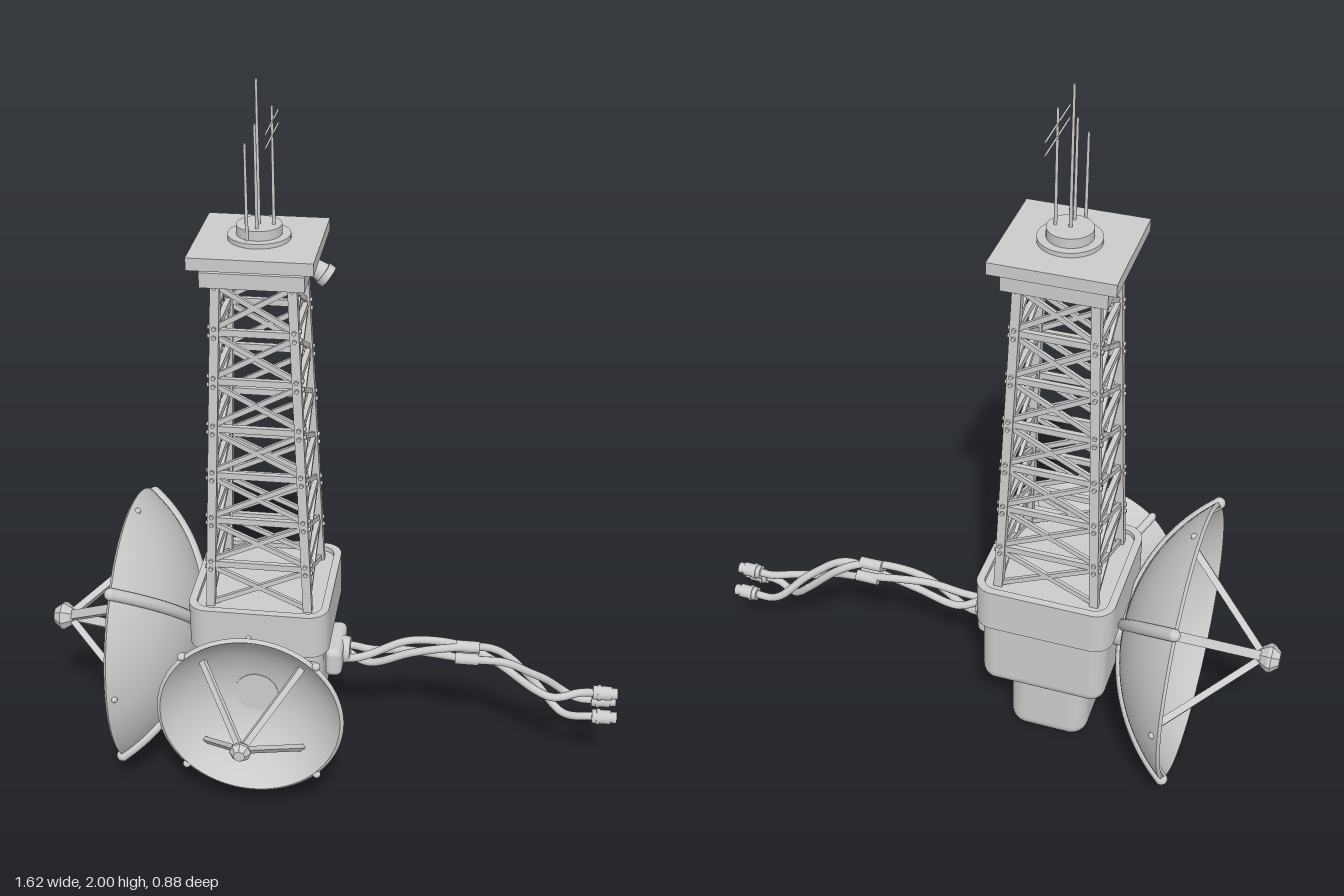
import * as THREE from 'three';
import { RoundedBoxGeometry } from 'three/addons/geometries/RoundedBoxGeometry.js';

const CX = -0.187, CZ = -0.055; // vertical axis shared by body and tower
const grey = new THREE.MeshStandardMaterial({ color: 0xcccccc });
const V = (x, y, z) => new THREE.Vector3(x, y, z);
const Y = V(0, 1, 0);

function add(parent, name, geometry, x = 0, y = 0, z = 0) {
  const mesh = new THREE.Mesh(geometry, grey);
  mesh.name = name;
  mesh.position.set(x, y, z);
  parent.add(mesh);
  return mesh;
}

// square bar between two points
function bar(parent, name, a, b, w, h = w) {
  const mesh = new THREE.Mesh(new THREE.BoxGeometry(w, h, a.distanceTo(b)), grey);
  mesh.name = name;
  mesh.position.copy(a).lerp(b, 0.5);
  mesh.lookAt(b);
  parent.add(mesh);
}

// round rod between two points
function rod(parent, name, a, b, r0, r1 = r0, sides = 16) {
  const mesh = add(parent, name, new THREE.CylinderGeometry(r1, r0, a.distanceTo(b), sides));
  mesh.position.copy(a).lerp(b, 0.5);
  mesh.quaternion.setFromUnitVectors(Y, b.clone().sub(a).normalize());
}

function roundedSquare(Path, half, r) {
  const p = new Path();
  const c = half - r;
  p.absarc(c, c, r, 0, Math.PI / 2);
  p.absarc(-c, c, r, Math.PI / 2, Math.PI);
  p.absarc(-c, -c, r, Math.PI, Math.PI * 1.5);
  p.absarc(c, -c, r, Math.PI * 1.5, Math.PI * 2);
  p.closePath();
  return p;
}

function makeBody() {
  const g = new THREE.Group();
  g.name = 'body';
  add(g, 'lowerBody', new RoundedBoxGeometry(0.226, 0.3, 0.226, 5, 0.05), CX, 0.153, CZ);
  add(g, 'mainBody', new RoundedBoxGeometry(0.352, 0.31, 0.352, 5, 0.042), CX, 0.388, CZ);
  // collar with a raised rim around the deck
  const rim = roundedSquare(THREE.Shape, 0.193, 0.055);
  rim.holes.push(roundedSquare(THREE.Path, 0.172, 0.038));
  const extrude = (shape, depth) => new THREE.ExtrudeGeometry(shape, { depth, bevelEnabled: false, curveSegments: 8 }).rotateX(-Math.PI / 2);
  add(g, 'collarRim', extrude(rim, 0.13), CX, 0.459, CZ);
  add(g, 'collarDeck', extrude(roundedSquare(THREE.Shape, 0.175, 0.04), 0.115), CX, 0.46, CZ);
  return g;
}

function makeTower() {
  const g = new THREE.Group();
  g.name = 'latticeTower';
  g.position.set(CX, 0, CZ);
  const y0 = 0.57, y1 = 1.515, h0 = 0.134, h1 = 0.097, bays = 7;
  const half = y => h0 + (h1 - h0) * (y - y0) / (y1 - y0);
  const corners = [[1, 1], [1, -1], [-1, -1], [-1, 1]];
  const at = (c, y) => V(c[0] * half(y), y, c[1] * half(y));
  corners.forEach((c, i) => {
    // leaning leg: a box whose ends are shifted to the taper
    const leg = new THREE.BoxGeometry(0.024, y1 - y0, 0.024);
    const p = leg.attributes.position;
    for (let k = 0; k < p.count; k++) {
      const h = p.getY(k) > 0 ? h1 : h0;
      p.setX(k, p.getX(k) + c[0] * h);
      p.setZ(k, p.getZ(k) + c[1] * h);
    }
    leg.computeVertexNormals();
    add(g, 'towerLeg', leg, 0, (y0 + y1) / 2, 0);
    const d = corners[(i + 1) % 4];
    for (let b = 0; b < bays; b++) {
      const ya = y0 + (y1 - y0) * b / bays, yb = y0 + (y1 - y0) * (b + 1) / bays;
      bar(g, 'crossBrace', at(c, ya + 0.01), at(d, yb - 0.01), 0.01, 0.014);
      bar(g, 'crossBrace', at(d, ya + 0.01), at(c, yb - 0.01), 0.01, 0.014);
      bar(g, 'horizontalBrace', at(c, yb), at(d, yb), 0.014, 0.018);
      // bolts on both outer faces of the leg
      for (const dy of [-0.012, 0.012]) {
        const q = at(c, yb + dy);
        rod(g, 'bolt', q, q.clone().add(V(c[0] * 0.018, 0, 0)), 0.006, 0.006, 8);
        rod(g, 'bolt', q, q.clone().add(V(0, 0, c[1] * 0.018)), 0.006, 0.006, 8);
      }
    }
  });
  return g;
}

function makePlatform() {
  const g = new THREE.Group();
  g.name = 'topPlatform';
  g.position.set(CX, 0, CZ);
  for (const [w, lo, hi] of [[0.264, 1.51, 1.55], [0.22, 1.545, 1.57], [0.316, 1.565, 1.598]])
    add(g, 'platformPlate', new THREE.BoxGeometry(w, hi - lo, w), 0, (lo + hi) / 2, 0);
  add(g, 'antennaBase', new THREE.CylinderGeometry(0.08, 0.08, 0.012, 40), 0, 1.604, 0);
  add(g, 'antennaBaseTop', new THREE.CylinderGeometry(0.058, 0.058, 0.03, 40), 0, 1.62, 0);
  for (const [x, z, top] of [[0, 0, 2], [0.037, 0, 1.936], [0, 0.036, 1.9], [-0.022, 0.055, 1.857]])
    rod(g, 'antenna', V(x, 1.6, z), V(x, top, z), 0.0045, 0.0035, 8);
  for (const y of [1.863, 1.896])
    rod(g, 'antennaCrossbar', V(0.037, y, -0.097), V(0.037, y, 0.1), 0.0025, 0.0025, 8);
  // tilted lamp under the plate edge
  rod(g, 'lampArm', V(0.12, 1.535, 0), V(0.145, 1.52, 0), 0.012);
  rod(g, 'lampBody', V(0.137, 1.527, 0), V(0.16, 1.511, 0), 0.022, 0.026, 24);
  rod(g, 'lampHood', V(0.16, 1.511, 0), V(0.175, 1.5, 0), 0.03, 0.03, 24);
  return g;
}

// dish opening toward +y with its back at the origin
function makeDish(name, r, depth, feedHeight, strutRadius, headR) {
  const g = new THREE.Group();
  g.name = name;
  const R = (r * r + depth * depth) / (2 * depth);
  const end = Math.asin(r / R), t = 0.012, n = 24;
  const pt = (a, s) => new THREE.Vector2(Math.sin(a) * s, R - Math.cos(a) * s);
  const outer = [], inner = [];
  for (let i = 0; i <= n; i++) {
    outer.push(pt(end * i / n, R));
    inner.push(pt(end * (1 - i / n), R - t));
  }
  add(g, 'dishBack', new THREE.LatheGeometry(outer, 64));
  add(g, 'dishBowl', new THREE.LatheGeometry(inner, 64));
  add(g, 'dishRim', new THREE.LatheGeometry([outer[n], inner[0]], 64));
  const level = R - Math.sqrt((R - t) ** 2 - strutRadius ** 2);
  for (let k = 0; k < 4; k++) {
    const a = Math.PI / 4 + k * Math.PI / 2, cx = Math.cos(a), cz = Math.sin(a);
    // rib following the back of the bowl
    const path = [];
    for (let i = 0; i <= 10; i++) {
      const p = pt(end * (0.12 + 0.88 * i / 10), R);
      path.push(V(p.x * cx, p.y, p.x * cz));
    }
    const w = r * 0.045;
    add(g, 'dishRib', new THREE.TubeGeometry(new THREE.CatmullRomCurve3(path), 24, w, 10));
    const tip = path[10];
    add(g, 'ribEnd', new THREE.SphereGeometry(w, 12, 8), tip.x, tip.y, tip.z);
    bar(g, 'feedStrut', V(strutRadius * cx, level, strutRadius * cz), V(0.01 * cx, feedHeight - headR * 0.6, 0.01 * cz), r * 0.068, r * 0.05);
    // rim bolts between the ribs
    const b = a + Math.PI / 4, q = pt(end * 0.95, R);
    add(g, 'rimBolt', new THREE.SphereGeometry(0.009, 10, 8), q.x * Math.cos(b), q.y, q.x * Math.sin(b));
  }
  const h = headR, head = [[0, -0.8], [0.5, -0.8], [1, -0.1], [1, 0.15], [0.55, 0.7], [0, 0.7]];
  const geo = new THREE.LatheGeometry(head.map(([x, y]) => new THREE.Vector2(x * h, y * h)), 8).toNonIndexed();
  geo.computeVertexNormals();
  add(g, 'feedHead', geo, 0, feedHeight, 0);
  add(g, 'dishMount', new THREE.CylinderGeometry(0.06, 0.06, 0.06, 32), 0, -0.01, 0);
  return g;
}

function makeCables() {
  const g = new THREE.Group();
  g.name = 'cables';
  add(g, 'socketPlate', new RoundedBoxGeometry(0.05, 0.09, 0.162, 3, 0.02), 0.008, 0.358, CZ);
  rod(g, 'socketRing', V(0.02, 0.358, CZ), V(0.05, 0.358, CZ), 0.042, 0.036, 24);
  const centre = new THREE.CatmullRomCurve3([
    [0.03, 0.352], [0.1, 0.342], [0.22, 0.378], [0.385, 0.382], [0.48, 0.36], [0.58, 0.29], [0.66, 0.237], [0.77, 0.235],
  ].map(([x, y]) => V(x, y, CZ)));
  const samples = 32;
  for (let k = 0; k < 3; k++) {
    const pts = [];
    for (let i = 0; i <= samples; i++) {
      const t = i / samples, p = centre.getPoint(t);
      const twist = Math.min(t / 0.92, 1) * Math.PI * 8 / 3;
      const a = Math.PI / 2 + k * Math.PI * 2 / 3 + twist;
      const s = 0.025 + 0.02 * THREE.MathUtils.smoothstep(t, 0.65, 0.92);
      pts.push(V(p.x, p.y + Math.sin(a) * s * 0.8, p.z + Math.cos(a) * s));
    }
    const curve = new THREE.CatmullRomCurve3(pts);
    add(g, 'cable', new THREE.TubeGeometry(curve, 90, 0.0115, 10));
    // sleeve at the middle of the run
    const m = pts.reduce((best, p) => Math.abs(p.x - 0.383) < Math.abs(best.x - 0.383) ? p : best);
    rod(g, 'cableSleeve', V(0.35, m.y, m.z), V(0.416, m.y, m.z), 0.0165, 0.0165, 20);
    // plug at the free end
    const e = pts[samples];
    rod(g, 'plugBody', V(0.742, e.y, e.z), V(0.795, e.y, e.z), 0.02, 0.02, 20);
    rod(g, 'plugTip', V(0.795, e.y, e.z), V(0.812, e.y, e.z), 0.016, 0.016, 20);
    rod(g, 'plugCollar', V(0.755, e.y, e.z), V(0.765, e.y, e.z), 0.023, 0.023, 20);
  }
  return g;
}

export function createModel() {
  const model = new THREE.Group();
  model.name = 'antennaStation';
  const large = makeDish('largeDish', 0.385, 0.185, 0.405, 0.285, 0.04);
  large.rotation.z = Math.PI / 2; // opens toward -x
  large.position.set(-0.38, 0.4, -0.06);
  const small = makeDish('smallDish', 0.256, 0.127, 0.278, 0.19, 0.029);
  small.rotation.x = Math.PI / 2; // opens toward +z
  small.position.set(CX, 0.345, 0.14);
  model.add(makeBody(), makeTower(), makePlatform(), large, small, makeCables());
  return model;
}
